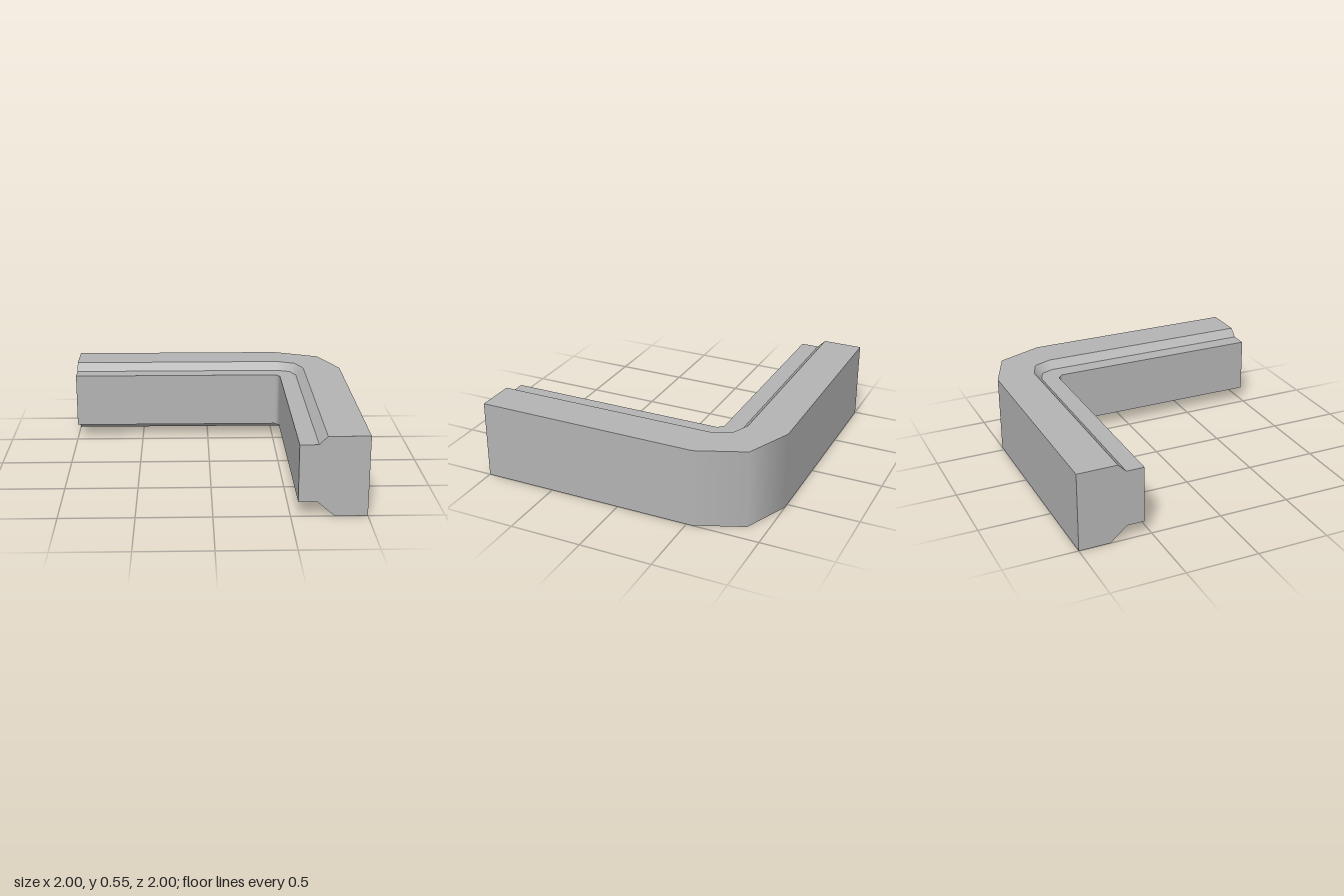
import * as THREE from 'three';

// Moulding cross-section, anticlockwise: [distance outward from the bend axis, height]
const PROFILE = [
  [0.46, 0], [0.46, 0.545], [0.185, 0.545], [0.13, 0.49],
  [0.007, 0.49], [0.007, 0.1], [0.13, 0.1], [0.245, 0],
];
const AXIS = 0.54; // the bend turns about x = AXIS, z = -AXIS
const STATIONS = 5; // leg end, bend start, bend middle, bend end, leg end

// Point of the profile at a station; the second leg mirrors the first
function pointAt(station, [r, y]) {
  if (station > 2) {
    const p = pointAt(4 - station, [r, y]);
    return new THREE.Vector3(-p.z, y, -p.x);
  }
  const inner = r < 0.05; // the tight inner corner is a small chamfer
  if (station === 2) {
    const k = (inner ? -0.016 : r) * Math.SQRT1_2;
    return new THREE.Vector3(AXIS + k, y, -AXIS - k);
  }
  return new THREE.Vector3(station === 0 ? -1 : inner ? 0.51 : AXIS, y, -AXIS - r);
}

// Outward direction at a station, used for smooth shading round the bend
function outwardAt(station) {
  const a = [0, 0, Math.PI / 4, Math.PI / 2, Math.PI / 2][station];
  return new THREE.Vector3(Math.sin(a), 0, -Math.cos(a));
}

function geometryFrom(positions, normals) {
  const g = new THREE.BufferGeometry();
  g.setAttribute('position', new THREE.Float32BufferAttribute(positions, 3));
  if (normals) g.setAttribute('normal', new THREE.Float32BufferAttribute(normals, 3));
  else g.computeVertexNormals();
  return g;
}

// Long faces: each profile edge swept along the stations, sharp between edges
function sweptFaces() {
  const positions = [], normals = [];
  PROFILE.forEach((p, i) => {
    const q = PROFILE[(i + 1) % PROFILE.length];
    const edge = new THREE.Vector2(q[1] - p[1], p[0] - q[0]).normalize();
    for (let s = 0; s < STATIONS - 1; s++) {
      const corners = [[s, p], [s, q], [s + 1, q], [s, p], [s + 1, q], [s + 1, p]];
      for (const [st, pt] of corners) {
        positions.push(...pointAt(st, pt).toArray());
        const n = outwardAt(st).multiplyScalar(edge.x);
        normals.push(n.x, edge.y, n.z);
      }
    }
  });
  return geometryFrom(positions, normals);
}

// Flat cut end of a leg
function endFace(station) {
  const outline = PROFILE.map(([r, y]) => new THREE.Vector2(r, y));
  const positions = [];
  for (const face of THREE.ShapeUtils.triangulateShape(outline, [])) {
    const order = station === 0 ? [...face].reverse() : face;
    for (const i of order) positions.push(...pointAt(station, PROFILE[i]).toArray());
  }
  return geometryFrom(positions);
}

export function createModel() {
  const group = new THREE.Group();
  group.name = 'cornerMoulding';
  const grey = new THREE.MeshStandardMaterial({ color: 0xb4b4b4 });
  grey.name = 'grey';

  const add = (name, geometry) => {
    const mesh = new THREE.Mesh(geometry, grey);
    mesh.name = name;
    group.add(mesh);
  };
  add('mouldingFaces', sweptFaces());
  add('backLegEnd', endFace(0));
  add('sideLegEnd', endFace(STATIONS - 1));
  return group;
}
